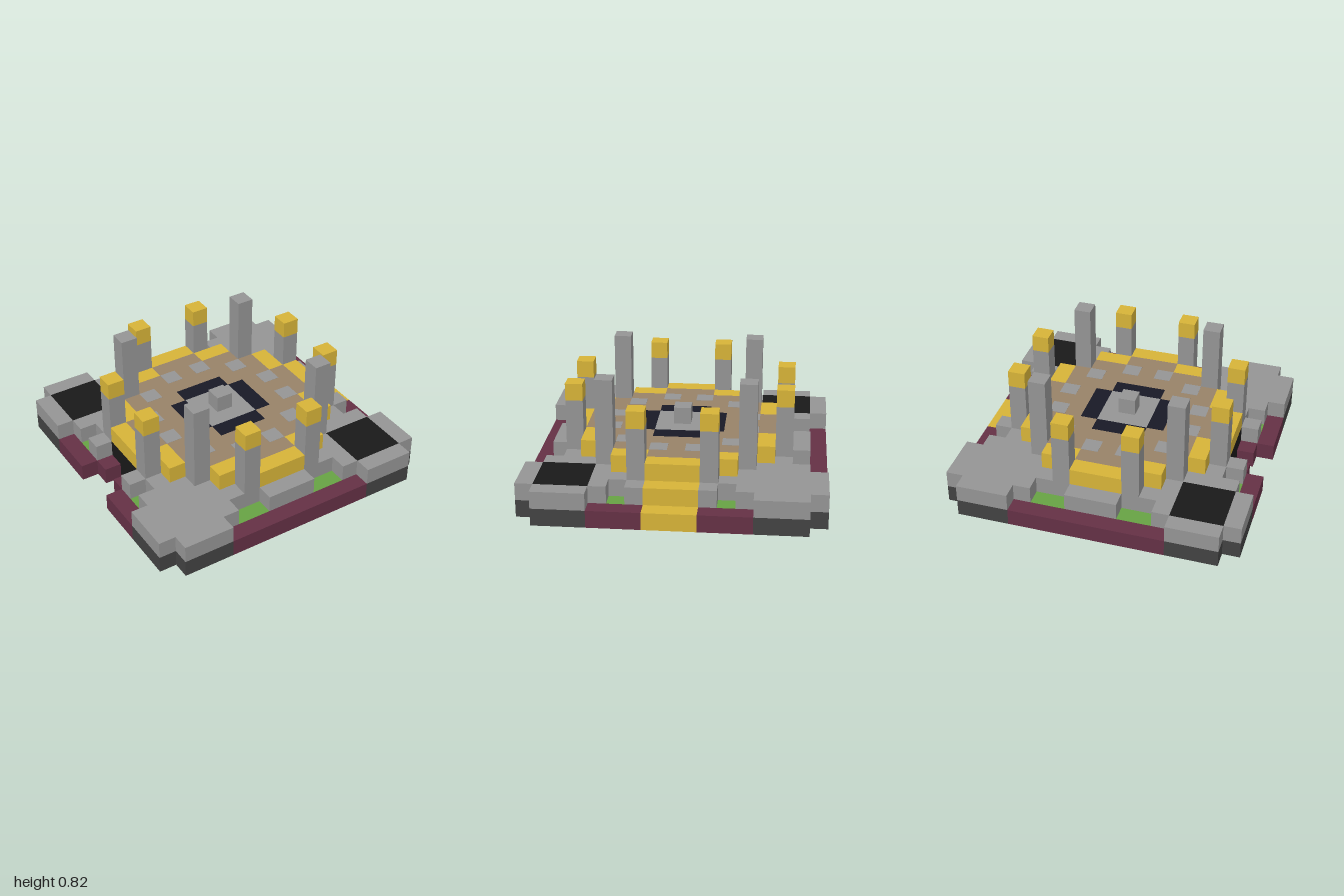
import * as THREE from 'three';

const U = 2 / 17; // one block
const E = 0.01; // thickness of a painted inlay, in blocks
const material = (name, color) => {
  const m = new THREE.MeshStandardMaterial({ color });
  m.name = name;
  return m;
};

export function createModel() {
  const model = new THREE.Group();
  model.name = 'courtyardTemple';
  const grey = material('stone grey', 0x949494);
  const dark = material('dark stone', 0x424242);
  const black = material('black', 0x191919);
  const navy = material('navy', 0x181926);
  const gold = material('gold', 0xd6b338);
  const brown = material('brown', 0x978268);
  const maroon = material('maroon', 0x643045);
  const green = material('grass green', 0x66a243);
  const teal = material('teal', 0x3f8785);

  // Box over a range of block cells (inclusive) between two heights
  function cells(name, mat, x0, x1, z0, z1, y0, y1) {
    const geo = new THREE.BoxGeometry((x1 - x0 + 1) * U, (y1 - y0) * U, (z1 - z0 + 1) * U);
    const mesh = new THREE.Mesh(geo, mat);
    mesh.position.set((x0 + x1) / 2 * U, (y0 + y1) / 2 * U, (z0 + z1) / 2 * U);
    mesh.name = name;
    model.add(mesh);
  }
  // Same box mirrored into all four quadrants
  function quad(name, mat, x0, x1, z0, z1, y0, y1) {
    for (const sx of [1, -1]) for (const sz of [1, -1]) {
      const xs = [x0 * sx, x1 * sx].sort((a, b) => a - b);
      const zs = [z0 * sz, z1 * sz].sort((a, b) => a - b);
      cells(name, mat, ...xs, ...zs, y0, y1);
    }
  }
  // Quadrant box plus its copy with x and z swapped
  function octo(name, mat, x0, x1, z0, z1, y0, y1) {
    quad(name, mat, x0, x1, z0, z1, y0, y1);
    quad(name, mat, z0, z1, x0, x1, y0, y1);
  }

  // Corner platforms with a notched outer corner
  for (const [name, mat, y] of [['cornerFoot', dark, 0], ['cornerDeck', grey, 1]]) {
    quad(name, mat, 5, 8, 5, 7, y, y + 1);
    quad(name, mat, 5, 7, 8, 8, y, y + 1);
  }
  for (const s of [1, -1]) {
    cells('cornerHatch', black, s * 6 - 1, s * 6 + 1, s * 6 - 1, s * 6 + 1, 2, 2 + E);
  }

  // Outer border, lawns and stone walks
  for (const s of [1, -1]) {
    cells('border', maroon, -4, 4, s * 8, s * 8, 0, 1);
    cells('walkFoot', black, -1, 1, s * 7, s * 7, 0, 1);
    cells('walk', grey, -1, 1, s * 7, s * 7, 1, 2);
  }
  quad('sideBorder', maroon, 8, 8, 2, 4, 0, 1);
  octo('lawn', green, 3, 4, 6, 7, 0, 1);
  quad('lawn', green, 2, 2, 7, 7, 0, 1);
  octo('pillarFoot', black, 2, 2, 6, 6, 0, 1);
  octo('walk', grey, 4, 4, 5, 7, 1, 2);
  octo('walk', grey, 2, 3, 6, 6, 1, 2);
  quad('stairCheek', grey, 7, 7, 2, 2, 0, 2);

  // Lining of the open chamber below the floor
  octo('chamberWall', teal, 3, 3, 5, 5, 0, 2);
  octo('chamberWall', teal, 2, 2, 5, 5, 0, 1);
  octo('chamberLamp', grey, 2, 2, 5, 5, 1, 2);
  octo('chamberCorner', teal, 4, 4, 5, 5, 0, 1);
  quad('chamberCorner', teal, 4, 4, 4, 4, 0, 2);
  for (const s of [1, -1]) {
    cells('chamberWall', teal, -1, 1, s * 6, s * 6, 0, 2);
    cells('chamberWall', teal, s * 6, s * 6, -1, 1, 0, 2);
    cells('doorPost', maroon, -7, -7, s, s, 0, 1);
  }

  // Dark doorway opposite the stairs
  const doorway = new THREE.Mesh(new THREE.BoxGeometry(E * U, 2 * U, 3 * U), black);
  doorway.position.set(-6.5 * U, U, 0);
  doorway.name = 'doorway';
  model.add(doorway);

  // Raised floor with its gold rim
  cells('floor', brown, -4, 4, -3, 3, 2, 3);
  for (const s of [1, -1]) {
    cells('floor', brown, -3, 3, s * 4, s * 4, 2, 3);
    cells('floor', brown, -1, 1, s * 5, s * 5, 2, 3);
    cells('floor', brown, s * 5, s * 5, -1, 1, 2, 3);
    cells('rim', gold, -1, 1, s * 6, s * 6, 2, 3);
    cells('rim', gold, s * 6, s * 6, -1, 1, 2, 3);
  }
  octo('rim', gold, 2, 3, 5, 5, 2, 3);

  // Floor inlays, showing above and below
  for (const y of [2 - E, 3]) {
    octo('floorDot', grey, 1, 1, 4, 4, y, y + E);
    quad('floorDot', grey, 3, 3, 3, 3, y, y + E);
    cells('centrePlate', grey, -1, 1, -1, 1, y, y + E);
    for (const s of [1, -1]) {
      cells('centreFrame', navy, -1, 1, s * 2, s * 2, y, y + E);
      cells('centreFrame', navy, s * 2, s * 2, -1, 1, y, y + E);
    }
  }
  cells('pedestal', grey, 0, 0, 0, 0, 3, 4);

  // Entrance stairs
  cells('stairStep', gold, 7, 7, -1, 1, 0, 2);
  cells('stairStep', gold, 8, 8, -1, 1, 0, 1);

  // Pillars
  quad('tallPillar', grey, 4, 4, 4, 4, 2, 7);
  octo('pillar', grey, 2, 2, 6, 6, 2, 5);
  octo('pillarCap', gold, 2, 2, 6, 6, 5, 6);

  return model;
}
